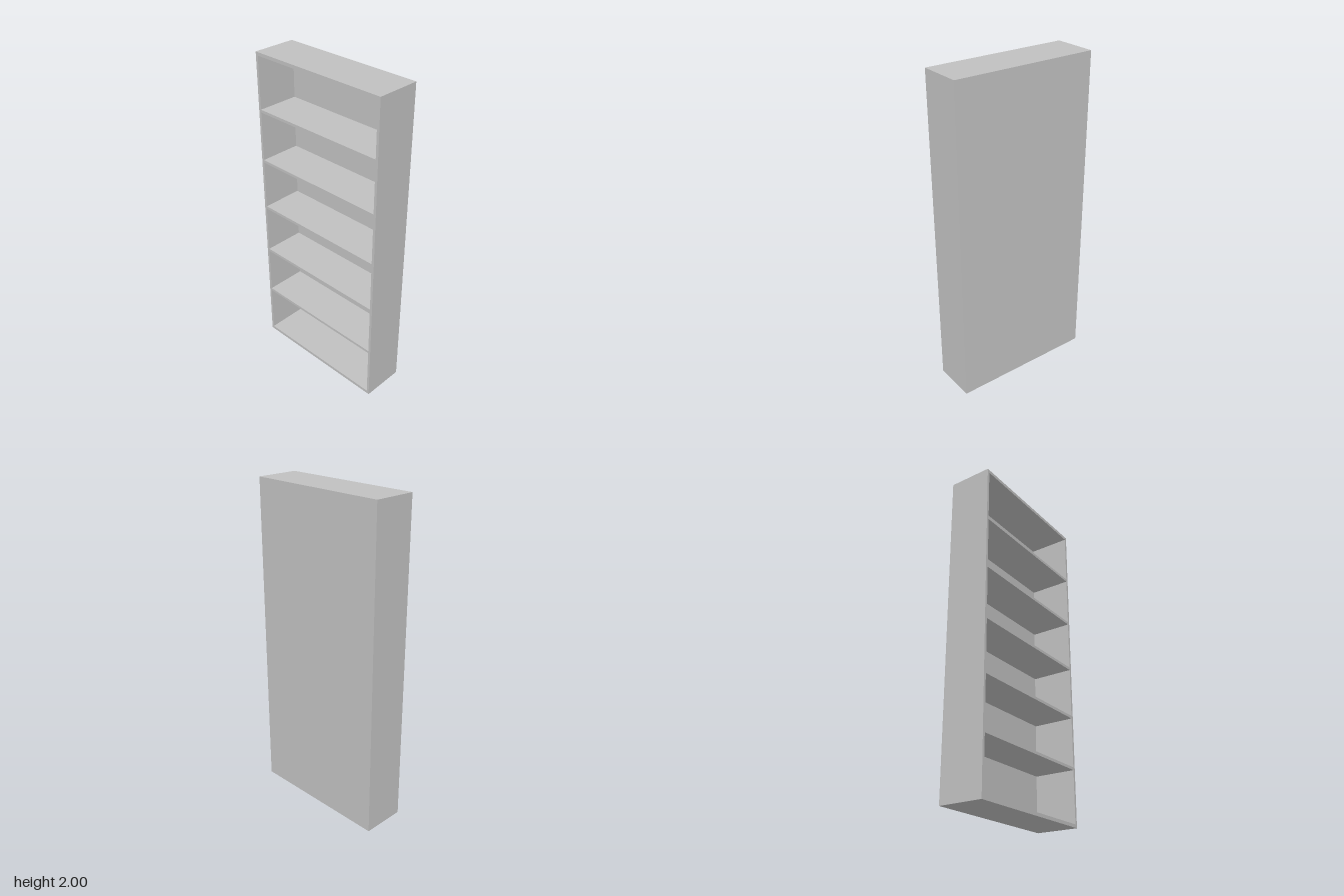
import * as THREE from 'three';

const W = 0.906, H = 2, D = 0.27;        // overall size
const SIDE = 0.016, CAP = 0.02, SHELF = 0.017, BACK = 0.006; // board thicknesses
const BAYS = 6, PITCH = 0.3255;          // shelf spacing

// Adds a closed rectangle to a shape or path
function rect(path, x0, y0, x1, y1) {
  path.moveTo(x0, y0);
  path.lineTo(x1, y0);
  path.lineTo(x1, y1);
  path.lineTo(x0, y1);
  path.closePath();
  return path;
}

export function createModel() {
  const group = new THREE.Group();
  group.name = 'bookcase';
  const grey = new THREE.MeshStandardMaterial({ color: 0xc0c0c0 });
  grey.name = 'lightGrey';

  // Sides, top, base and shelves as one frame with an opening per bay
  const outline = rect(new THREE.Shape(), -W / 2, 0, W / 2, H);
  const innerX = W / 2 - SIDE;
  const shelfY = (i) => H / 2 + (i - BAYS / 2) * PITCH;
  for (let i = 0; i < BAYS; i++) {
    const bottom = i === 0 ? CAP : shelfY(i) + SHELF / 2;
    const top = i === BAYS - 1 ? H - CAP : shelfY(i + 1) - SHELF / 2;
    outline.holes.push(rect(new THREE.Path(), -innerX, bottom, innerX, top));
  }
  const frameGeometry = new THREE.ExtrudeGeometry(outline, { depth: D - BACK, bevelEnabled: false });
  const frame = new THREE.Mesh(frameGeometry, grey);
  frame.name = 'frameAndShelves';
  frame.position.z = -D / 2 + BACK;
  group.add(frame);

  // Thin panel closing the back
  const back = new THREE.Mesh(new THREE.BoxGeometry(W, H, BACK), grey);
  back.name = 'backPanel';
  back.position.set(0, H / 2, -D / 2 + BACK / 2);
  group.add(back);

  return group;
}
